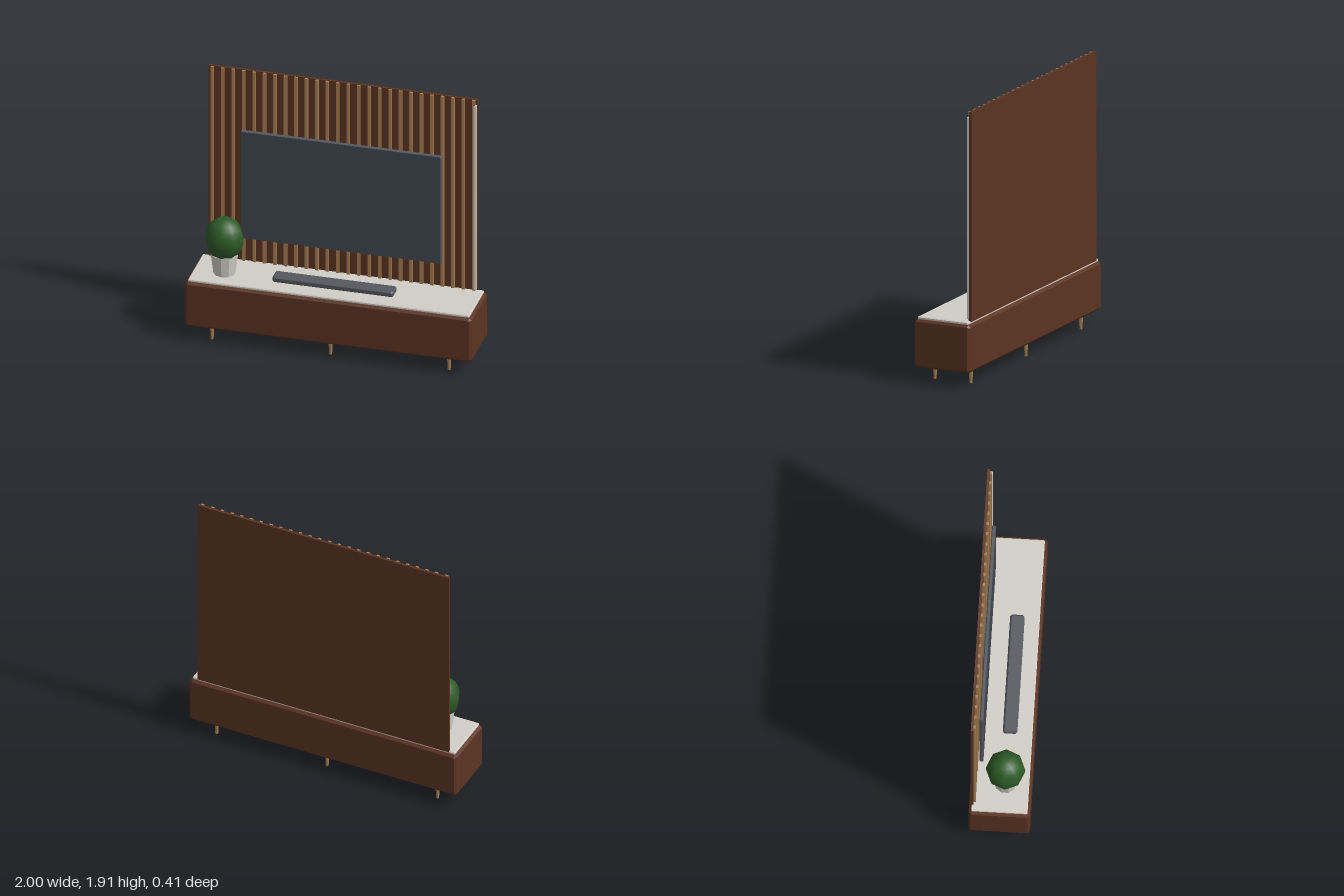
import * as THREE from 'three';

const mat = (name, color) => {
  const m = new THREE.MeshStandardMaterial({ color });
  m.name = name;
  return m;
};

// Box with chamfered edges, given by its minimum and maximum corners
function chamferBox(x0, x1, y0, y1, z0, z1, c) {
  const w = (x1 - x0) / 2 - c, h = (y1 - y0) / 2 - c, d = z1 - z0 - 2 * c, k = c * 0.4;
  const s = new THREE.Shape([
    [-w + k, -h], [w - k, -h], [w, -h + k], [w, h - k],
    [w - k, h], [-w + k, h], [-w, h - k], [-w, -h + k],
  ].map(([x, y]) => new THREE.Vector2(x, y)));
  const g = new THREE.ExtrudeGeometry(s, {
    depth: d, bevelEnabled: true, bevelThickness: c, bevelSize: c, bevelSegments: 1,
  });
  return g.translate((x0 + x1) / 2, (y0 + y1) / 2, z0 + c);
}

function plainBox(x0, x1, y0, y1, z0, z1) {
  return new THREE.BoxGeometry(x1 - x0, y1 - y0, z1 - z0)
    .translate((x0 + x1) / 2, (y0 + y1) / 2, (z0 + z1) / 2);
}

export function createModel() {
  const walnut = mat('walnut', 0x5c3422);
  const oak = mat('oak', 0xa87f52);
  const stone = mat('stone', 0xd0cec6);
  const casing = mat('casing', 0x55585f);
  const glass = mat('glass', 0x414752);
  const ceramic = mat('ceramic', 0xd2d0c8);
  const leaf = mat('leaf', 0x2d5a27);
  const light = mat('light', 0xdedbd0);
  ceramic.flatShading = true;

  const model = new THREE.Group();
  model.name = 'mediaWall';
  const add = (name, geometry, material, parent = model) => {
    const m = new THREE.Mesh(geometry, material);
    m.name = name;
    parent.add(m);
    return m;
  };

  // Cabinet and its stone top
  add('cabinet', chamferBox(-1, 1, 0.108, 0.442, -0.207, 0.207, 0.016), walnut);
  add('counterTop', chamferBox(-0.982, 0.982, 0.438, 0.46, -0.19, 0.19, 0.006), stone);

  // Six tapered legs
  const legs = new THREE.Group();
  legs.name = 'legs';
  model.add(legs);
  for (const x of [-0.827, 0, 0.827]) {
    for (const z of [-0.135, 0.135]) {
      add('leg', new THREE.CylinderGeometry(0.016, 0.01, 0.115, 10), oak, legs)
        .position.set(x, 0.0575, z);
    }
  }

  // Back panel with vertical slats
  add('backPanel', plainBox(-0.94, 0.94, 0.455, 1.91, -0.195, -0.177), walnut);
  const slats = new THREE.Group();
  slats.name = 'slats';
  model.add(slats);
  for (let i = 0; i < 26; i++) {
    const x = -0.91 + i * 0.073;
    add('slat', plainBox(x - 0.011, x + 0.011, 0.458, 1.908, -0.179, -0.162), oak, slats);
  }

  // Light strip at the panel's edge
  add('lightStrip', plainBox(0.916, 0.936, 0.47, 1.87, -0.179, -0.159), light);

  // Wall screen
  add('screenCasing', chamferBox(-0.7, 0.7, 0.65, 1.47, -0.149, -0.125, 0.006), casing);
  add('screenGlass', plainBox(-0.692, 0.692, 0.658, 1.462, -0.127, -0.1235), glass);
  add('screenMount', plainBox(-0.15, 0.15, 0.95, 1.17, -0.178, -0.147), casing);

  // Sound bar
  add('soundBar', chamferBox(-0.422, 0.422, 0.462, 0.508, -0.01, 0.088, 0.012), casing);

  // Potted plant
  const plant = new THREE.Group();
  plant.name = 'plant';
  plant.position.set(-0.77, 0, 0.03);
  model.add(plant);
  add('pot', new THREE.CylinderGeometry(0.094, 0.075, 0.15, 10), ceramic, plant)
    .position.y = 0.535;
  const foliage = add('foliage', new THREE.SphereGeometry(0.133, 8, 14), leaf, plant);
  foliage.position.y = 0.72;
  foliage.scale.y = 1.165;

  return model;
}
